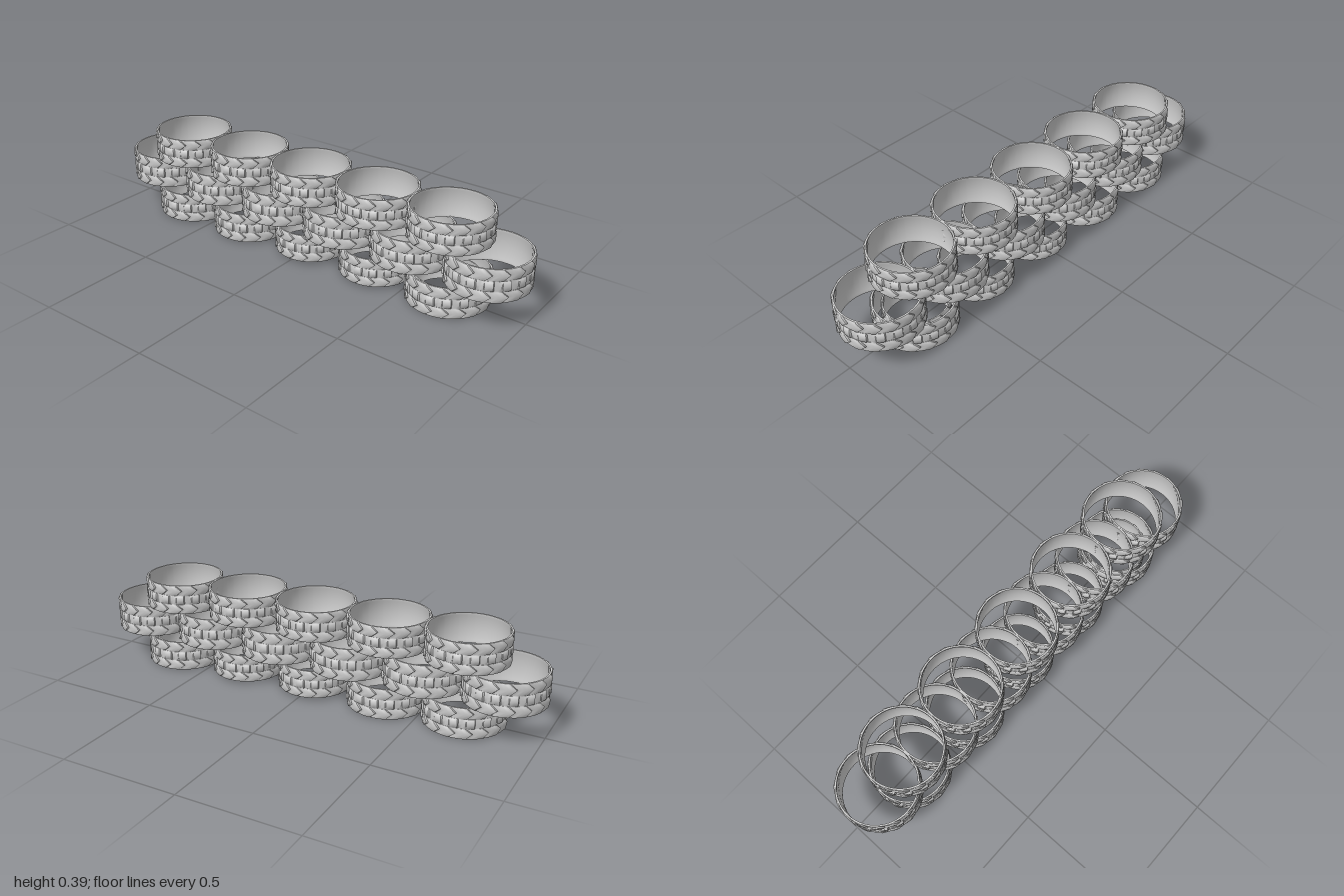
import * as THREE from 'three';
import { toCreasedNormals } from 'three/addons/utils/BufferGeometryUtils.js';

const BLOCKS = 16;
// one tread block: angular stations and how far each one is raised
const U = [0, 0.25, 0.47, 0.53, 0.75, 0.96];
const CHEVRON = [0, 0.3, 0.5, 0.56, 0.8, 1];
const BRICK = [0.7, 0.85, 1, 0, 0.15, 0.3];
const BASE = 0.165, RAISE = 0.007;

// Cross-section rows of a tyre of unit height: up the outside, down the inside
function tyreRows() {
  const rows = [];
  const bands = [
    { y0: 0, y1: 0.34, table: CHEVRON, slant: 0.4 },
    { y0: 0.34, y1: 0.65, table: BRICK, slant: 0 },
    { y0: 0.65, y1: 1, table: CHEVRON, slant: 0.4 },
  ];
  for (const b of bands) {
    for (const v of [0, 0.06, 0.5, 0.94, 1]) {
      rows.push({
        y: b.y0 + (b.y1 - b.y0) * v,
        r: BASE,
        raise: v === 0 || v === 1 ? 0.25 : v === 0.5 ? 1 : 0.85,
        table: b.table,
        shift: b.slant * (1 - Math.abs(2 * v - 1)),
      });
    }
  }
  // plain lip and slightly barrelled inside
  for (const [y, r] of [[1, 0.159], [0.94, 0.159], [0.9, 0.161], [0.5, 0.163], [0.1, 0.161], [0.06, 0.159], [0, 0.159]]) {
    rows.push({ y, r, raise: 0, table: CHEVRON, shift: 0 });
  }
  return rows;
}

function tyreGeometry() {
  const rows = tyreRows(), cols = BLOCKS * U.length;
  const pos = [], index = [];
  for (const row of rows) {
    for (let i = 0; i < cols; i++) {
      const k = i % U.length, block = Math.floor(i / U.length);
      const a = (block + U[k] + row.shift) * Math.PI * 2 / BLOCKS;
      const r = row.r + RAISE * row.raise * row.table[k];
      pos.push(Math.sin(a) * r, row.y, Math.cos(a) * r);
    }
  }
  for (let j = 0; j < rows.length; j++) {
    const n = (j + 1) % rows.length;
    for (let i = 0; i < cols; i++) {
      const m = (i + 1) % cols;
      const a = j * cols + i, b = j * cols + m, c = n * cols + m, d = n * cols + i;
      index.push(a, b, c, a, c, d);
    }
  }
  const g = new THREE.BufferGeometry();
  g.setAttribute('position', new THREE.Float32BufferAttribute(pos, 3));
  g.setIndex(index);
  return toCreasedNormals(g, 0.6);
}

export function createModel() {
  const group = new THREE.Group();
  group.name = 'tyreWall';
  const geometry = tyreGeometry();
  const material = new THREE.MeshStandardMaterial({ color: 0xcccccc });

  function addTyre(parent, name, z, y0, y1, radius = 0.171) {
    const mesh = new THREE.Mesh(geometry, material);
    const s = radius / 0.171;
    mesh.name = name;
    mesh.scale.set(s, y1 - y0, s);
    mesh.position.set(0, y0, z);
    parent.add(mesh);
  }

  // Three staggered courses; the bottom one mixes sizes
  const courses = [
    { name: 'bottomCourse', y0: 0, y1: 0.13, z: [0.667, 0.333, 0, -0.338, -0.672], radii: [0.171, 0.157, 0.157, 0.168, 0.171] },
    { name: 'middleCourse', y0: 0.13, y1: 0.268, z: [0.829, 0.497, 0.165, -0.167, -0.498, -0.829] },
    { name: 'topCourse', y0: 0.265, y1: 0.393, z: [0.66, 0.328, -0.005, -0.338, -0.671] },
  ];
  for (const c of courses) {
    const course = new THREE.Group();
    course.name = c.name;
    c.z.forEach((z, i) => {
      const r = c.radii ? c.radii[i] : 0.171;
      addTyre(course, 'tyre' + (i + 1), z, r < 0.16 ? c.y0 + 0.01 : c.y0, c.y1, r);
    });
    group.add(course);
  }

  // Small tyre nested in the front bottom one
  addTyre(group, 'nestedTyre', 0.66, 0.005, 0.11, 0.136);
  return group;
}
